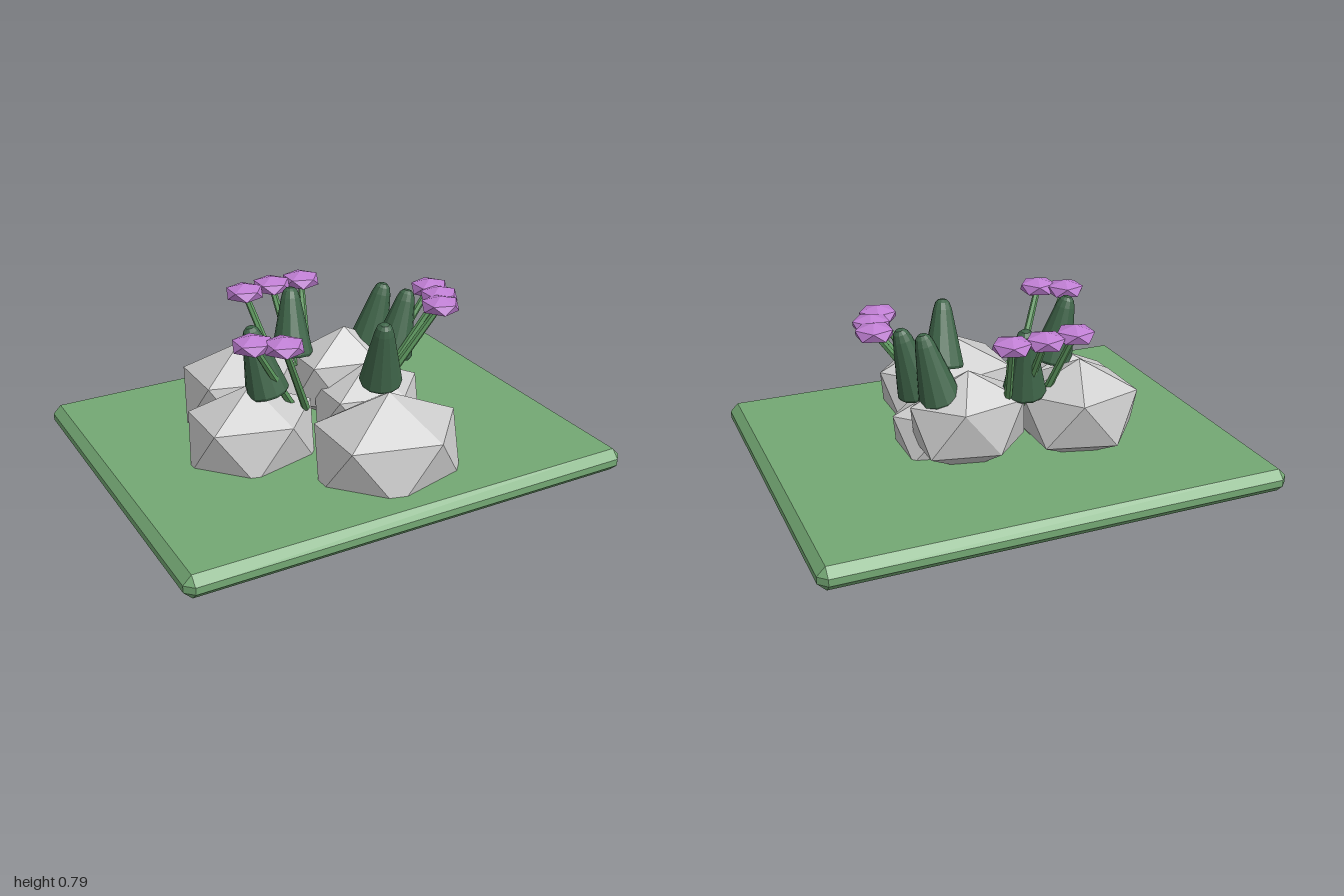
import * as THREE from 'three';
import { ConvexGeometry } from 'three/addons/geometries/ConvexGeometry.js';

const V = (x, y, z) => new THREE.Vector3(x, y, z);
const UP = V(0, 1, 0);

const mat = (color) => new THREE.MeshStandardMaterial({ color, flatShading: true });

// Icosahedron standing on a corner, with the upper ring pointing to +x
function uprightIcosahedron() {
  const g = new THREE.IcosahedronGeometry(1, 0);
  g.rotateZ(-Math.atan(2 / (1 + Math.sqrt(5))));
  return g;
}

// Slab with every edge and corner cut off
function chamferedSlab(hx, hy, hz, c) {
  const points = [];
  for (const x of [-1, 1]) for (const y of [-1, 1]) for (const z of [-1, 1]) {
    points.push(
      V(x * hx, y * (hy - c), z * (hz - c)),
      V(x * (hx - c), y * hy, z * (hz - c)),
      V(x * (hx - c), y * (hy - c), z * hz));
  }
  return new ConvexGeometry(points);
}

export function createModel() {
  const group = new THREE.Group();
  const grass = mat(0x74a874);
  const stemGreen = mat(0x5f9a60);
  const darkGreen = mat(0x3f6549);
  const purple = mat(0xc07fd4);
  const stone = mat(0xcccccc);
  const ico = uprightIcosahedron();

  const add = (name, geometry, material, position) => {
    const mesh = new THREE.Mesh(geometry, material);
    mesh.name = name;
    mesh.position.copy(position);
    group.add(mesh);
    return mesh;
  };

  // Ground slab
  add('groundSlab', chamferedSlab(1, 0.05, 0.803, 0.035), grass, V(0, 0.147, 0));

  // Rocks: centre, then scale
  const rocks = [
    [V(0.05, 0.267, 0.43), V(0.358, 0.265, 0.295)],
    [V(-0.385, 0.275, 0.05), V(0.313, 0.235, 0.255)],
    [V(0.2, 0.27, 0.01), V(0.28, 0.2, 0.22)],
    [V(-0.31, 0.36, -0.21), V(0.29, 0.225, 0.255)],
    [V(0.17, 0.36, -0.15), V(0.285, 0.225, 0.2)],
  ];
  rocks.forEach(([centre, scale], i) => {
    add(`rock${i + 1}`, ico, stone, centre).scale.copy(scale);
  });

  // Leaning blunt cones: base centre and tip
  const coneProfile = [[0, 0], [0.087, 0], [0.092, 0.012], [0.042, 0.255], [0.032, 0.285], [0.018, 0.299], [0, 0.303]]
    .map(([x, y]) => new THREE.Vector2(x, y));
  const coneGeometry = new THREE.LatheGeometry(coneProfile, 12);
  const cones = [
    [V(-0.06, 0.475, -0.205), V(-0.035, 0.77, -0.265)],
    [V(0.29, 0.47, -0.145), V(0.36, 0.77, -0.125)],
    [V(0.34, 0.465, -0.02), V(0.42, 0.765, -0.02)],
    [V(0.15, 0.465, 0.2), V(0.12, 0.765, 0.275)],
    [V(-0.32, 0.475, 0.08), V(-0.385, 0.77, 0.06)],
  ];
  cones.forEach(([base, tip], i) => {
    const axis = tip.clone().sub(base).normalize();
    add(`cone${i + 1}`, coneGeometry, darkGreen, base).quaternion.setFromUnitVectors(UP, axis);
  });

  // Flowers: root of the stem, then centre of the head
  const headY = 0.752;
  const flowers = [
    [V(-0.14, 0.42, -0.2), V(-0.22, headY, -0.34)],
    [V(-0.05, 0.42, -0.2), V(-0.075, headY, -0.367)],
    [V(0.02, 0.42, -0.21), V(0.07, headY, -0.367)],
    [V(0.27, 0.4, 0), V(0.52, headY, -0.005)],
    [V(0.26, 0.4, 0.055), V(0.5, headY, 0.1)],
    [V(0.23, 0.4, 0.105), V(0.44, headY, 0.2)],
    [V(-0.22, 0.4, 0.09), V(-0.44, headY, 0.2)],
    [V(-0.165, 0.38, 0.12), V(-0.34, headY, 0.275)],
  ];
  flowers.forEach(([root, head], i) => {
    const along = head.clone().sub(root);
    const middle = root.clone().lerp(head, 0.5);
    const stem = new THREE.CylinderGeometry(0.014, 0.018, along.length(), 6);
    add(`stem${i + 1}`, stem, stemGreen, middle).quaternion.setFromUnitVectors(UP, along.normalize());
    add(`flowerHead${i + 1}`, ico, purple, head).scale.set(0.09, 0.042, 0.09);
  });

  return group;
}
